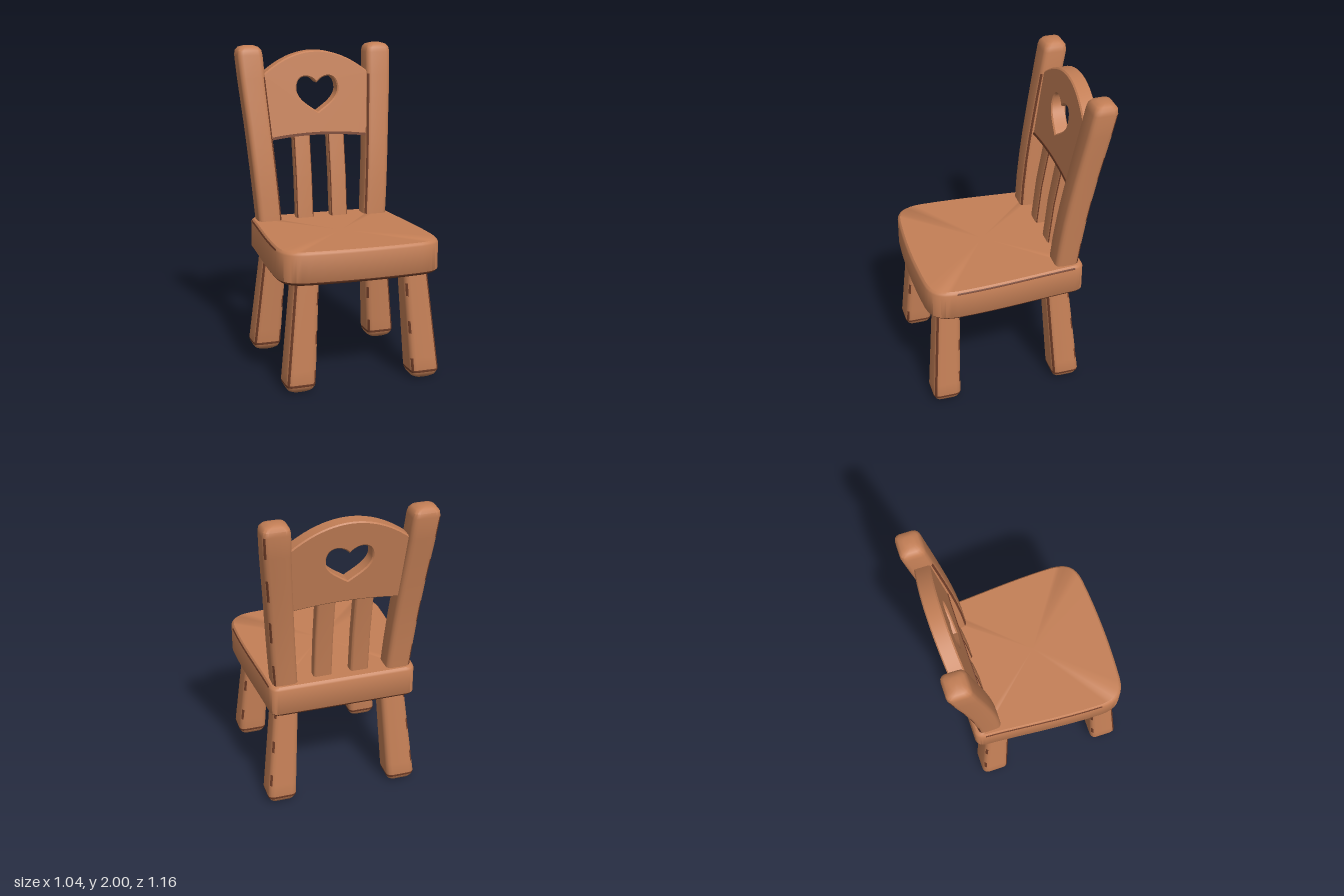
import * as THREE from 'three';
import { toCreasedNormals } from 'three/addons/utils/BufferGeometryUtils.js';

const wood = new THREE.MeshStandardMaterial({ color: 0xc47f56 });
wood.name = 'warm wood';
const edge = new THREE.MeshStandardMaterial({ color: 0x74402a });
edge.name = 'dark edge';

// Skins equal-length rings stacked upwards; isDark(band, column) picks the worn dark faces
function loft(rings, isDark) {
  const n = rings[0].length, pos = [], light = [], dark = [];
  rings.forEach(r => r.forEach(p => pos.push(p.x, p.y, p.z)));
  for (let i = 0; i < rings.length - 1; i++) {
    for (let j = 0; j < n; j++) {
      const a = i * n + j, b = i * n + (j + 1) % n, c = a + n, d = b + n;
      (isDark(i, j) ? dark : light).push(a, c, b, b, c, d);
    }
  }
  [0, rings.length - 1].forEach((r, top) => {
    const mid = new THREE.Vector3();
    rings[r].forEach(p => mid.addScaledVector(p, 1 / n));
    const centre = pos.length / 3;
    pos.push(mid.x, mid.y, mid.z);
    for (let j = 0; j < n; j++) {
      const a = r * n + j, b = r * n + (j + 1) % n;
      light.push(centre, top ? b : a, top ? a : b);
    }
  });
  const geo = new THREE.BufferGeometry();
  geo.setAttribute('position', new THREE.Float32BufferAttribute(pos, 3));
  geo.setIndex([...light, ...dark]);
  geo.addGroup(0, light.length, 0);
  geo.addGroup(light.length, dark.length, 1);
  return toCreasedNormals(geo, 0.7);
}

// Rounded rectangle ring from [x, y, z, width, depth], four points per corner
function ring([x, y, z, w, d], radius) {
  const pts = [];
  const r = Math.min(radius, w * 0.45, d * 0.45);
  for (let q = 0; q < 4; q++) {
    const sx = q === 0 || q === 3 ? 1 : -1, sz = q < 2 ? 1 : -1;
    for (let k = 0; k <= 3; k++) {
      const a = (q + k / 3) * Math.PI / 2;
      pts.push(new THREE.Vector3(
        x + sx * (w / 2 - r) + r * Math.cos(a), y,
        z + sz * (d / 2 - r) + r * Math.sin(a)));
    }
  }
  return pts;
}

// Splits the span between two sections into equal bands
function span(from, to, count) {
  return Array.from({ length: count + 1 }, (_, i) =>
    from.map((v, k) => v + (to[k] - v) * i / count));
}

// Upright post; worn(band, corner) marks dark corners, named for the side they face
function beam(name, side, sections, radius, worn) {
  const corners = side > 0
    ? ['outerFront', 'innerFront', 'innerBack', 'outerBack']
    : ['innerFront', 'outerFront', 'outerBack', 'innerBack'];
  const rings = sections.map(([x, ...rest]) => ring([x * side, ...rest], radius));
  const geo = loft(rings, (band, col) => worn(band, col % 4 === 1 ? corners[(col - 1) / 4] : 'flat'));
  const mesh = new THREE.Mesh(geo, [wood, edge]);
  mesh.name = name;
  return mesh;
}

// Extrudes a front outline backwards and leans it with the chair back
function leaning(name, shape, depth, bevel, frontZ, material) {
  let geo = new THREE.ExtrudeGeometry(shape, {
    depth: depth - 2 * bevel, bevelEnabled: bevel > 0, bevelSize: bevel,
    bevelThickness: bevel, bevelOffset: -bevel, bevelSegments: 1, curveSegments: 20,
  });
  const p = geo.attributes.position;
  for (let i = 0; i < p.count; i++) {
    p.setZ(i, p.getZ(i) + bevel + frontZ - depth - 0.17 * (p.getY(i) - 1.4));
  }
  geo = toCreasedNormals(geo, 0.5);
  const mesh = new THREE.Mesh(geo, material);
  mesh.name = name;
  return mesh;
}

function createSeat() {
  const outline = new THREE.Shape();
  outline.moveTo(0.41, -0.44);
  outline.quadraticCurveTo(0.46, -0.44, 0.467, -0.38);
  outline.bezierCurveTo(0.478, -0.15, 0.513, 0.1, 0.513, 0.39);
  outline.bezierCurveTo(0.508, 0.5, 0.47, 0.55, 0.36, 0.562);
  outline.quadraticCurveTo(0, 0.594, -0.36, 0.562);
  outline.bezierCurveTo(-0.47, 0.55, -0.508, 0.5, -0.513, 0.39);
  outline.bezierCurveTo(-0.513, 0.1, -0.478, -0.15, -0.467, -0.38);
  outline.quadraticCurveTo(-0.46, -0.44, -0.41, -0.44);
  const pts = outline.getPoints(8);
  // [height, inset]
  const levels = [[0.673, 0.016], [0.68, 0.008], [0.692, 0], [0.856, 0], [0.867, 0.005], [0.877, 0.015]];
  const rings = levels.map(([y, inset]) => pts.map(p => new THREE.Vector3(
    p.x * (1 - inset / 0.5), y, 0.07 + (p.y - 0.07) * (1 - inset / 0.5))));
  // Dark lower rim all round, dark upper rim along the two sides
  const onSide = col => (col >= 8 && col < 16) || (col >= 40 && col < 48);
  const geo = loft(rings, (band, col) => band < 2 || (band === 3 && onSide(col)));
  const mesh = new THREE.Mesh(geo, [wood, edge]);
  mesh.name = 'seat';
  return mesh;
}

function createBackPanel() {
  const panel = new THREE.Shape();
  panel.moveTo(-0.33, 1.395);
  panel.quadraticCurveTo(0, 1.44, 0.33, 1.395);
  panel.lineTo(0.36, 1.815);
  panel.quadraticCurveTo(0, 2.105, -0.36, 1.815);
  panel.closePath();

  // Heart cut-out
  const heart = new THREE.Path();
  heart.moveTo(0, 1.563);
  heart.bezierCurveTo(-0.05, 1.6, -0.14, 1.645, -0.14, 1.715);
  heart.bezierCurveTo(-0.14, 1.81, -0.05, 1.815, 0, 1.752);
  heart.bezierCurveTo(0.05, 1.815, 0.14, 1.81, 0.14, 1.715);
  heart.bezierCurveTo(0.14, 1.645, 0.05, 1.6, 0, 1.563);
  panel.holes.push(heart);

  // Thin dark band along the lower front edge
  const trim = new THREE.Shape();
  trim.moveTo(-0.32, 1.395);
  trim.quadraticCurveTo(0, 1.439, 0.32, 1.395);
  trim.lineTo(0.32, 1.412);
  trim.quadraticCurveTo(0, 1.456, -0.32, 1.412);
  trim.closePath();

  const group = new THREE.Group();
  group.name = 'backPanel';
  group.add(
    leaning('heartPanel', panel, 0.095, 0.008, -0.355, wood),
    leaning('panelLowerEdge', trim, 0.0095, 0, -0.351, edge));
  return group;
}

// Splayed leg with a rounded foot
function createLeg(name, side, footZ, topZ) {
  const sections = [
    [0.4, 0, footZ, 0.11, 0.11], [0.4, 0.015, footZ, 0.155, 0.15],
    [0.4, 0.04, footZ, 0.18, 0.174],
    ...span([0.4, 0.056, footZ, 0.186, 0.178], [0.347, 0.69, topZ, 0.157, 0.155], 8),
  ];
  return beam(name, side, sections, 0.035, (band, corner) =>
    band === 2 ||
    (band > 2 && corner === 'outerFront') ||
    (band > 2 && band % 3 === 0 && corner === 'innerFront') ||
    (band > 2 && band % 3 === 1 && corner === 'outerBack'));
}

export function createModel() {
  const chair = new THREE.Group();
  chair.name = 'chair';
  chair.add(createSeat(), createBackPanel());

  for (const side of [1, -1]) {
    const label = side > 0 ? 'left' : 'right';
    chair.add(createLeg(label + 'FrontLeg', side, 0.462, 0.425));
    chair.add(createLeg(label + 'BackLeg', side, -0.335, -0.283));

    // Curved back posts, worn along the inner front and partly the outer back corner
    chair.add(beam(label + 'Post', side, [
      [0.361, 0.86, -0.335, 0.155, 0.148], [0.373, 1.03, -0.35, 0.157, 0.15],
      [0.385, 1.2, -0.371, 0.158, 0.15], [0.396, 1.35, -0.394, 0.159, 0.15],
      [0.407, 1.5, -0.42, 0.16, 0.15], [0.419, 1.65, -0.448, 0.163, 0.151],
      [0.43, 1.8, -0.477, 0.166, 0.152], [0.438, 1.94, -0.503, 0.168, 0.152],
      [0.439, 1.97, -0.506, 0.158, 0.142], [0.439, 1.99, -0.506, 0.128, 0.112],
      [0.439, 2.0, -0.506, 0.07, 0.06],
    ], 0.032, (band, corner) =>
      (band < 6 && corner === 'innerFront') ||
      (band < 7 && band % 2 === 0 && corner === 'outerBack')));

    // Narrow back slats with dark front corners
    chair.add(beam(label + 'Slat', side, [
      [0.118, 0.86, -0.332, 0.116, 0.075], [0.118, 1.15, -0.362, 0.116, 0.075],
      [0.118, 1.45, -0.412, 0.116, 0.075],
    ], 0.016, (band, corner) => corner.endsWith('Front')));
  }
  return chair;
}
